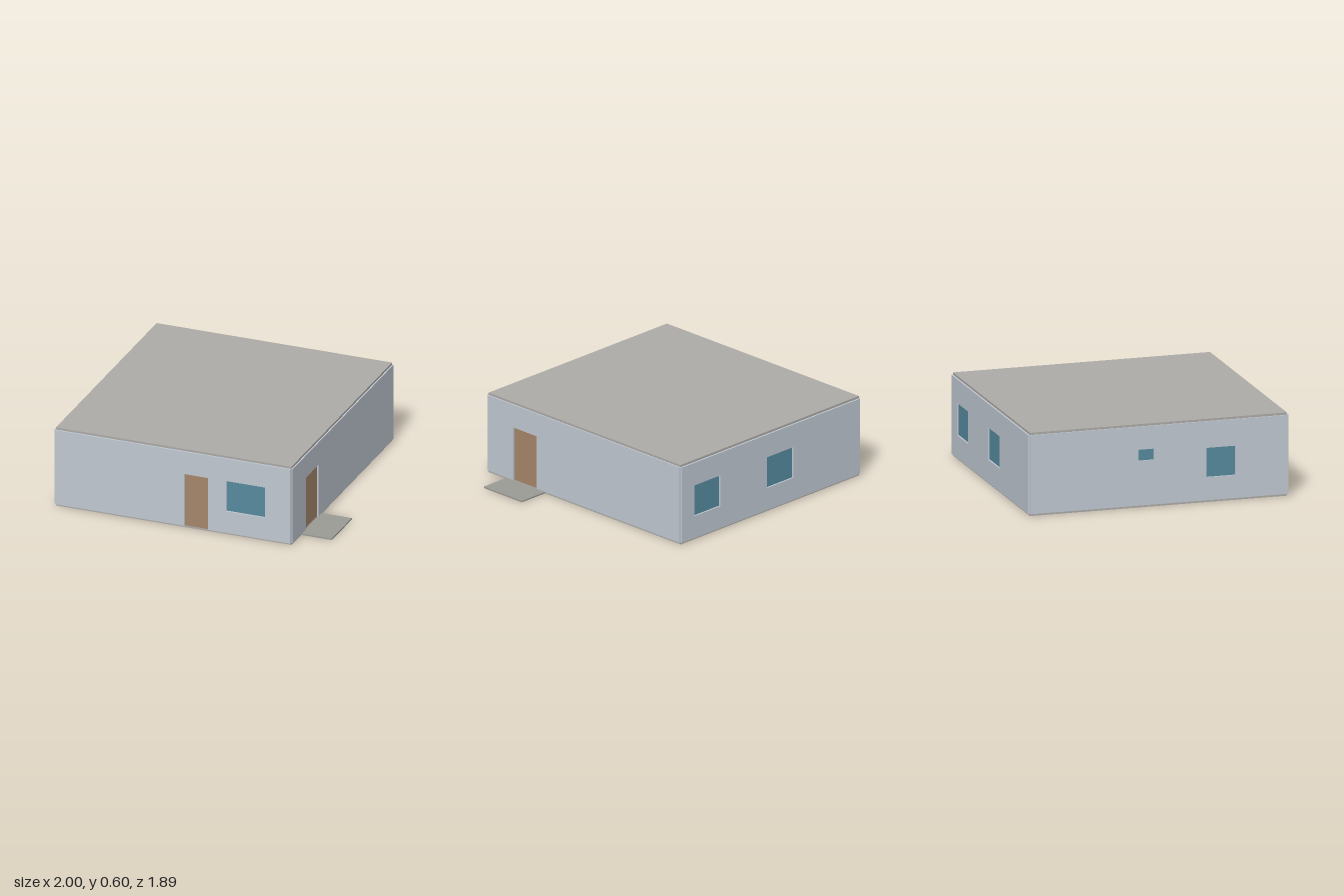
import * as THREE from 'three';

const CX = -0.11;            // centre of the house in x
const W = 1.76, D = 1.87;    // slab width and depth
const Y0 = 0.015, Y1 = 0.58; // bottom and top of the walls
const T = 0.03;              // wall thickness
const OUT = 0.0125;          // how far walls stand out past the slabs
const RECESS = 0.012;        // doors and glass sit back from the wall face

const mat = (color) => new THREE.MeshStandardMaterial({ color });

function box(name, material, x0, x1, y0, y1, z0, z1) {
  const mesh = new THREE.Mesh(new THREE.BoxGeometry(x1 - x0, y1 - y0, z1 - z0), material);
  mesh.position.set((x0 + x1) / 2, (y0 + y1) / 2, (z0 + z1) / 2);
  mesh.name = name;
  return mesh;
}

export function createModel() {
  const house = new THREE.Group();
  house.name = 'house';
  const wallMat = mat(0xc0c8d2);
  const slabMat = mat(0xadaba7);
  const porchMat = mat(0x9a9b95);
  const doorMat = mat(0xa5866a);
  const glassMat = mat(0x568a9e);

  // Wall facing +z in its own frame; openings are [kind, u0, u1, y0, y1]
  function wall(name, length, offset, angle, openings) {
    const group = new THREE.Group();
    group.name = name;
    const h = length / 2;
    const doors = openings.filter((o) => o[0] === 'door').sort((a, b) => a[1] - b[1]);
    const windows = openings.filter((o) => o[0] === 'window');

    // Outline, notched at the foot for doors
    const shape = new THREE.Shape();
    shape.moveTo(-h, Y0);
    for (const [, a, b, , top] of doors) {
      shape.lineTo(a, Y0).lineTo(a, top).lineTo(b, top).lineTo(b, Y0);
    }
    shape.lineTo(h, Y0).lineTo(h, Y1).lineTo(-h, Y1).closePath();
    for (const [, a, b, lo, hi] of windows) {
      const hole = new THREE.Path();
      hole.moveTo(a, lo).lineTo(a, hi).lineTo(b, hi).lineTo(b, lo).closePath();
      shape.holes.push(hole);
    }
    const geo = new THREE.ExtrudeGeometry(shape, { depth: T, bevelEnabled: false });
    geo.translate(0, 0, offset - T);
    const panel = new THREE.Mesh(geo, wallMat);
    panel.name = name + 'Panel';
    group.add(panel);

    // Door leaves and window panes
    for (const [kind, a, b, lo, hi] of openings) {
      const face = offset - RECESS;
      group.add(box(kind, kind === 'door' ? doorMat : glassMat, a, b, lo, hi, face - 0.01, face));
    }
    group.position.x = CX;
    group.rotation.y = angle;
    house.add(group);
  }

  // Floor, roof and side porch
  const x0 = CX - W / 2, x1 = CX + W / 2;
  house.add(box('floor', slabMat, x0, x1, 0, Y0, -D / 2, D / 2));
  house.add(box('roof', slabMat, x0, x1, Y1, 0.596, -D / 2, D / 2));
  house.add(box('porch', porchMat, x1, 1, 0, 0.011, 0.385, 0.755));

  const frontOut = D / 2 + OUT, sideOut = W / 2 + OUT - 0.0025;
  wall('frontWall', W, frontOut, 0, [
    ['door', -0.024 - CX, 0.152 - CX, Y0, 0.41],
    ['window', 0.29 - CX, 0.577 - CX, 0.18, 0.41],
  ]);
  wall('leftWall', D, sideOut, Math.PI / 2, [
    ['door', -0.687, -0.458, Y0, 0.41],
  ]);
  wall('backWall', W, frontOut, Math.PI, [
    ['window', CX - 0.645, CX - 0.39, 0.18, 0.41],
    ['window', CX + 0.07, CX + 0.33, 0.18, 0.41],
  ]);
  wall('rightWall', D, sideOut, -Math.PI / 2, [
    ['window', -0.15, -0.037, 0.335, 0.415],
    ['window', 0.347, 0.556, 0.18, 0.39],
  ]);
  return house;
}
